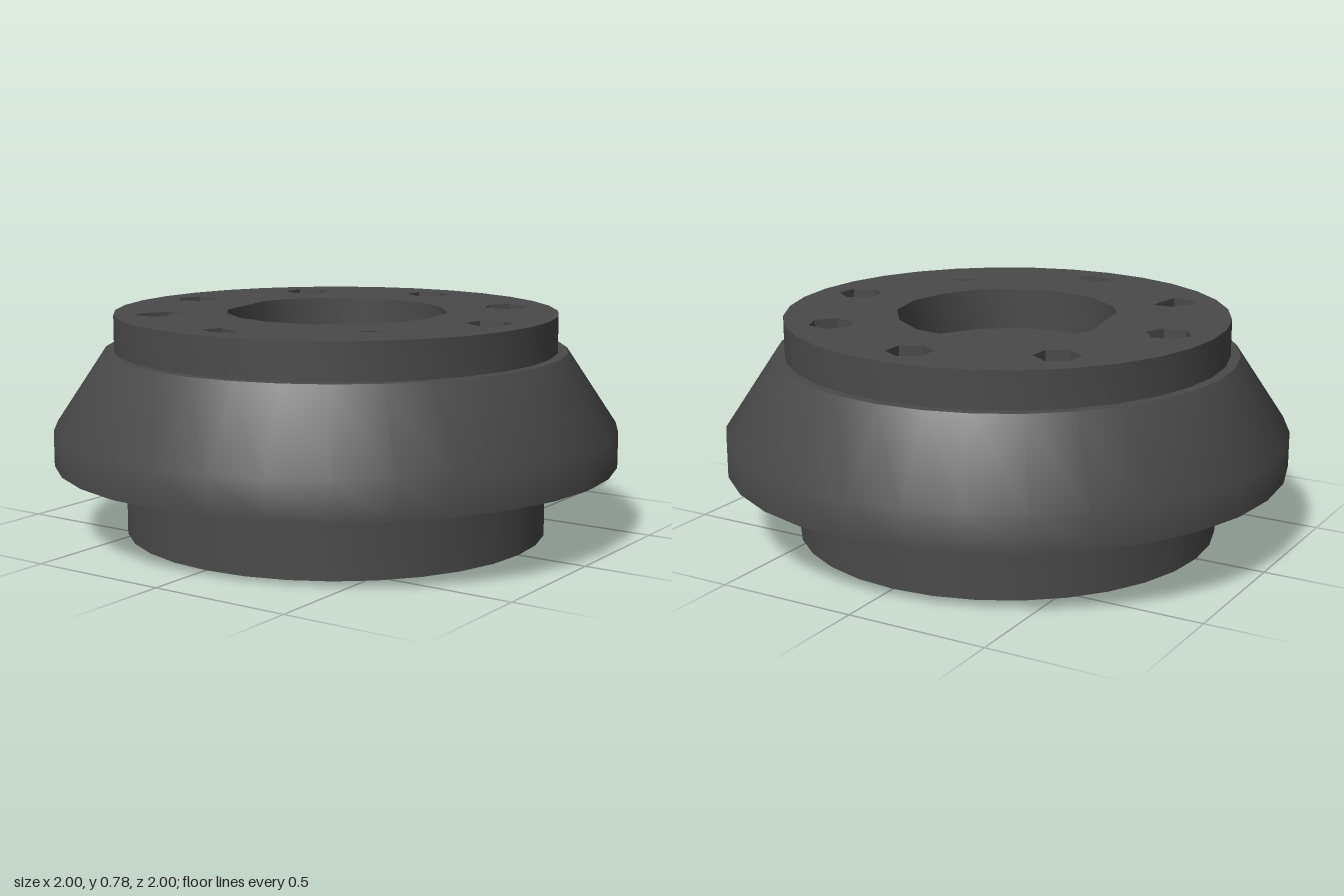
import * as THREE from 'three';
import { toCreasedNormals } from 'three/addons/utils/BufferGeometryUtils.js';

const SEGMENTS = 32, CREASE = Math.PI / 4;
const TOP = 0.78, CAP_BOTTOM = 0.63, POCKET_DEPTH = 0.05;

// Outlines are [x, z] pairs, turned into shape points with y = -z
const outline = (pairs, cx = 0, cz = 0) =>
  pairs.map(([x, z]) => new THREE.Vector2(cx + x, -(cz + z)));

// Central recess: a circle with one chord on the left side
const recess = outline([
  [0, -0.39], [0.14, -0.37], [0.27, -0.28], [0.36, -0.16], [0.39, 0], [0.36, 0.14],
  [0.28, 0.27], [0.15, 0.36], [0, 0.39], [-0.15, 0.36], [-0.27, 0.28], [-0.33, 0.2],
  [-0.38, -0.08], [-0.35, -0.18], [-0.27, -0.28], [-0.14, -0.37],
]);

// Six-sided bolt pocket, turned by the given angle
const hexagon = (cx, cz, turn) => outline(
  Array.from({ length: 6 }, (_, i) => {
    const a = turn + (i * Math.PI) / 3;
    return [0.08 * Math.cos(a), 0.08 * Math.sin(a)];
  }), cx, cz);

// Ring of bolt pockets; the three at the front are partly closed
const pockets = [
  hexagon(0, -0.625, Math.PI / 6),
  hexagon(0.44, -0.445, 0.15),
  hexagon(0.625, 0, -0.42),
  hexagon(-0.625, 0, -0.12),
  hexagon(-0.44, -0.44, -0.48),
  outline([[-0.07, -0.01], [-0.02, -0.08], [0.05, -0.08], [0.03, 0.06], [-0.06, 0.05]], -0.44, 0.45),
  outline([[-0.04, -0.03], [0.07, 0.02], [0.05, 0.05], [-0.01, 0.07], [-0.07, 0.04]], 0, 0.63),
  outline([[-0.07, 0.04], [-0.03, -0.03], [0.04, -0.03], [-0.02, 0.01]], 0.44, 0.4),
];

export function createModel() {
  const group = new THREE.Group();
  const material = new THREE.MeshStandardMaterial({ color: 0x4a4a4a });

  const add = (name, geometry, y = 0) => {
    const mesh = new THREE.Mesh(geometry, material);
    mesh.name = name;
    mesh.position.y = y;
    group.add(mesh);
  };

  // Round foot and flared flange in one turned profile
  const profile = [
    [0, 0], [0.75, 0], [0.75, 0.255], [1, 0.255], [1, 0.38], [0.82, 0.65], [0.77, 0.65],
  ].map(([r, y]) => new THREE.Vector2(r, y));
  add('flaredBody', toCreasedNormals(new THREE.LatheGeometry(profile, SEGMENTS), CREASE));

  // Raised cap with the recess and the pockets cut through it
  const cap = new THREE.Shape(Array.from({ length: SEGMENTS }, (_, i) => {
    const a = (i / SEGMENTS) * Math.PI * 2;
    return new THREE.Vector2(0.785 * Math.cos(a), 0.785 * Math.sin(a));
  }));
  cap.holes = [recess, ...pockets].map((points) => new THREE.Path(points));
  const capGeometry = new THREE.ExtrudeGeometry(cap, {
    depth: TOP - CAP_BOTTOM, bevelEnabled: false, curveSegments: 1,
  }).rotateX(-Math.PI / 2);
  add('cap', toCreasedNormals(capGeometry, CREASE), CAP_BOTTOM);

  // Floors of the recess and the pockets
  const floor = (points) =>
    new THREE.ShapeGeometry(new THREE.Shape(points)).rotateX(-Math.PI / 2);
  add('recessFloor', floor(recess), CAP_BOTTOM);
  pockets.forEach((points) => add('pocketFloor', floor(points), TOP - POCKET_DEPTH));

  return group;
}
